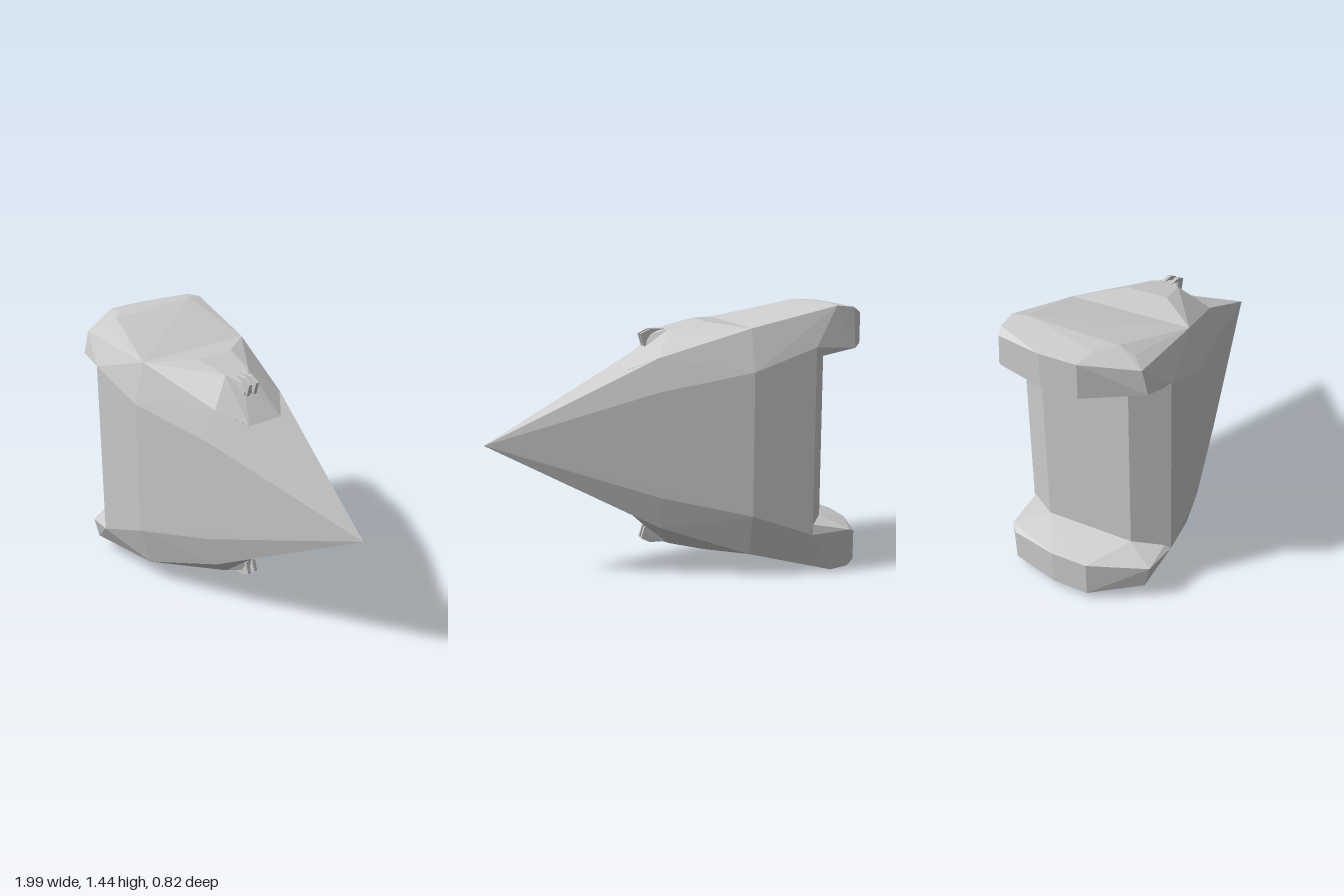
import * as THREE from 'three';
import { ConvexGeometry } from 'three/addons/geometries/ConvexGeometry.js';

const MID = 0.72; // height of the mirror plane
const material = new THREE.MeshStandardMaterial({ color: 0xcccccc, flatShading: true });

// Repeat points on both sides of z = 0
const bothSides = (pts) => pts.flatMap(([x, y, z]) => (z ? [[x, y, z], [x, y, -z]] : [[x, y, z]]));
// Repeat points above and below the mirror plane
const bothHalves = (pts) => pts.flatMap(([x, y, z]) => [[x, y, z], [x, 2 * MID - y, z]]);
const flip = (pts) => pts.map(([x, y, z]) => [x, 2 * MID - y, z]);

function hull(name, pts) {
  const mesh = new THREE.Mesh(new ConvexGeometry(pts.map((p) => new THREE.Vector3(...p))), material);
  mesh.name = name;
  return mesh;
}

export function createModel() {
  const group = new THREE.Group();
  group.name = 'pointedBlock';

  // Wedge body running to a point, with a narrow flat back
  const body = bothHalves(bothSides([
    [-0.79, 1.16, 0.24], [-0.68, 1.22, 0.41], [-0.35, 1.32, 0.33],
    [-0.35, 1.10, 0.39], [0.11, 1.17, 0.215], [0.11, 1.0, 0.256],
  ]));
  group.add(hull('body', [...body, [0.99, MID, 0]]));

  // Overhanging end cap, a little fuller at the back
  const cap = [
    ...bothSides([
      [-1, 1.40, 0.1], [-1, 1.22, 0.1], [-0.79, 1.16, 0.24],
      [-0.68, 1.22, 0.41], [-0.35, 1.32, 0.33], [-0.35, 1.10, 0.39],
    ]),
    [-0.94, 1.39, -0.36], [-0.94, 1.23, -0.36], [-0.9, 1.42, -0.37], [-0.9, 1.21, -0.4],
    [-0.8, 1.43, -0.38], [-0.79, 1.44, -0.3],
    [-0.89, 1.42, 0.12], [-0.79, 1.42, 0.2], [-0.79, 1.39, 0.28],
    [-0.85, 1.36, 0.35], [-0.85, 1.24, 0.38], [-0.7, 1.33, 0.35],
  ];

  // Raised bump in front of the cap
  const bump = bothSides([
    [-0.35, 1.32, 0.33], [-0.17, 1.34, 0.11], [0.02, 1.30, 0.075],
    [0.11, 1.17, 0.215], [0.14, 1.205, 0.04], [0.25, 1.10, 0.105], [-0.3, 1.1, 0.3],
  ]);

  // Small fork: a socket and two prongs
  const socket = bothSides([
    [0.02, 1.30, 0.07], [0.0, 1.22, 0.06], [0.12, 1.27, 0.025], [0.13, 1.21, 0.04], [0.08, 1.29, 0.02],
  ]);
  const prong = (s) => [0.012, 0.032].flatMap((z) => [
    [0.03, 1.30, s * z], [0.11, 1.30, s * z], [0.16, 1.275, s * z], [0.14, 1.21, s * z], [0.05, 1.24, s * z],
  ]);

  for (const [prefix, place] of [['upper', (p) => p], ['lower', flip]]) {
    group.add(hull(prefix + 'Cap', place(cap)));
    group.add(hull(prefix + 'Bump', place(bump)));
    group.add(hull(prefix + 'Socket', place(socket)));
    for (const s of [1, -1]) group.add(hull(prefix + (s > 0 ? 'FrontProng' : 'BackProng'), place(prong(s))));
  }
  return group;
}
